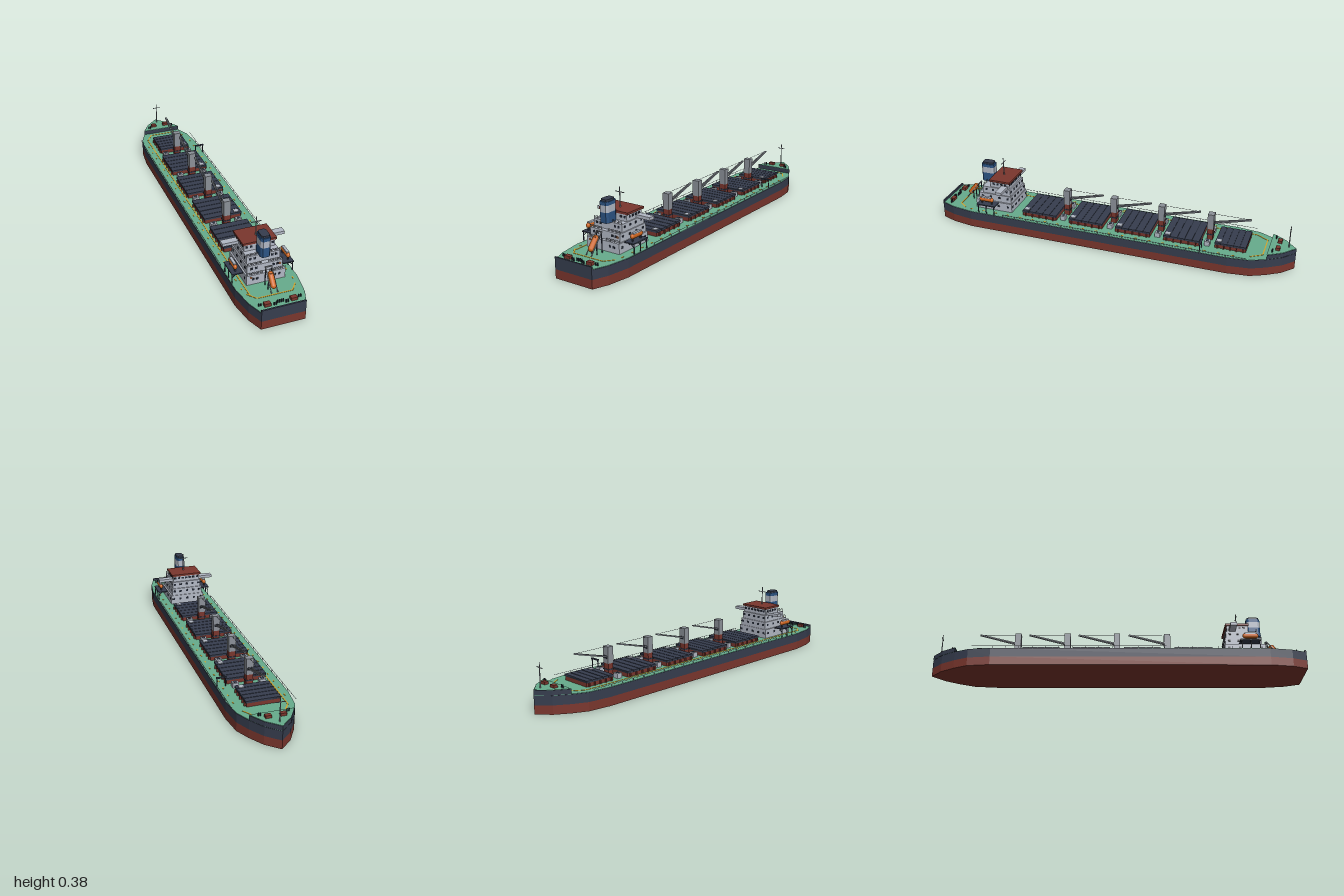
import * as THREE from 'three';

const mat = (name, color, side = THREE.FrontSide) => {
  const m = new THREE.MeshStandardMaterial({ color, side });
  m.name = name;
  return m;
};

export function createModel() {
  const red = mat('oxide red', 0x7a362d), navy = mat('dark navy', 0x363d4e);
  const green = mat('deck green', 0x67ac8d), white = mat('house white', 0xb2b8c4);
  const grey = mat('crane grey', 0x8b9098), blue = mat('funnel blue', 0x2c5484);
  const orange = mat('rescue orange', 0xd0661f), yellow = mat('marking yellow', 0xd2a52c);
  const black = mat('window black', 0x242a36);
  const ship = new THREE.Group();
  ship.name = 'cargoShip';

  const add = (name, geo, m, parent = ship) => {
    const mesh = new THREE.Mesh(geo, m);
    mesh.name = name;
    parent.add(mesh);
    return mesh;
  };
  const group = (name) => {
    const g = new THREE.Group();
    g.name = name;
    ship.add(g);
    return g;
  };
  // Box given by its limits on each axis
  const box = (name, m, x0, x1, y0, y1, z0, z1, parent) => {
    const b = add(name, new THREE.BoxGeometry(x1 - x0, y1 - y0, z1 - z0), m, parent);
    b.position.set((x0 + x1) / 2, (y0 + y1) / 2, (z0 + z1) / 2);
    return b;
  };
  // Square bar between two points
  const beam = (name, m, a, b, w, parent, h = w) => {
    const p = new THREE.Vector3(...a), q = new THREE.Vector3(...b);
    const bar = add(name, new THREE.BoxGeometry(w, h, p.distanceTo(q)), m, parent);
    bar.position.copy(p).add(q).multiplyScalar(0.5);
    bar.lookAt(q);
    return bar;
  };
  // Symmetric plan outline, given as half-widths [x, z] from bow to stern
  const slab = (name, m, half, y0, y1, parent) => {
    const pts = [...half, ...half.filter((p) => p[0] > 0).reverse().map(([x, z]) => [-x, z])];
    const shape = new THREE.Shape(pts.map(([x, z]) => new THREE.Vector2(x, -z)));
    const geo = new THREE.ExtrudeGeometry(shape, { depth: y1 - y0, bevelEnabled: false });
    geo.rotateX(-Math.PI / 2).translate(0, y0, 0);
    return add(name, geo, m, parent);
  };

  // Hull
  const bow = [[0, -1], [0.065, -0.94], [0.112, -0.865]];
  const outline = [...bow, [0.147, -0.79], [0.161, -0.67], [0.161, 0.8], [0.142, 0.92], [0.112, 1]];
  slab('lowerHull', red, outline, 0, 0.046);
  slab('upperHull', navy, outline, 0.046, 0.094);
  slab('mainDeck', green, outline.map(([x, z]) => [x * 0.99, z * 0.998]), 0.094, 0.096);
  slab('forecastle', navy, bow, 0.096, 0.12);
  slab('forecastleDeck', green, bow.map(([x, z]) => [x * 0.98, z * 0.998]), 0.12, 0.122);
  box('sternBulwark', navy, -0.112, 0.112, 0.094, 0.108, 0.992, 1);

  // Deck markings
  const marks = group('deckMarkings');
  const line = (x0, z0, x1, z1) => beam('deckLine', yellow, [x0, 0.0965, z0], [x1, 0.0965, z1], 0.006, marks, 0.002);
  line(-0.113, -0.78, -0.113, 0.87);
  line(-0.075, -0.84, 0.075, -0.84);
  line(-0.09, 0.895, 0.09, 0.895);
  for (const s of [-1, 1]) {
    line(s * 0.075, -0.84, s * 0.113, -0.78);
    line(s * 0.09, 0.895, s * 0.125, 0.85);
    for (let z = -0.7; z < 0.8; z += 0.075) line(s * 0.132, z, s * 0.132, z + 0.014);
  }

  // Side rails
  const rails = group('deckRails');
  for (const s of [-1, 1]) {
    beam('rail', grey, [s * 0.16, 0.108, -0.77], [s * 0.16, 0.108, 0.6], 0.0015, rails);
    for (let i = 0; i <= 18; i++) {
      const z = -0.66 + i * 0.07;
      beam('railPost', grey, [s * 0.16, 0.095, z], [s * 0.16, 0.108, z + 0.0001], 0.002, rails);
    }
  }

  // Cargo hatches with ribbed coamings and panelled covers
  const hatches = [[-0.755, -0.585, 0.088], [-0.51, -0.31, 0.105], [-0.24, -0.04, 0.105], [0.03, 0.23, 0.105], [0.3, 0.505, 0.105]];
  for (const [z0, z1, w] of hatches) {
    const g = group('cargoHatch');
    box('coaming', red, -w + 0.004, w - 0.004, 0.095, 0.116, z0 + 0.003, z1 - 0.003, g);
    const n = 5, step = (z1 - z0) / n;
    for (let i = 0; i < n; i++) {
      const a = z0 + i * step;
      box('coverPanel', navy, -w, w, 0.116, 0.127, a + 0.002, a + step - 0.002, g);
      for (const s of [-1, 1])
        box('coamingRib', red, s * w - 0.004, s * w + 0.004, 0.095, 0.115, a + step / 2 - 0.003, a + step / 2 + 0.003, g);
    }
    box('coverCore', black, -w + 0.002, w - 0.002, 0.116, 0.125, z0 + 0.002, z1 - 0.002, g);
    box('accessHatch', white, w - 0.038, w - 0.014, 0.127, 0.13, z1 - 0.035, z1 - 0.008, g);
  }

  // Deck cranes with lockers on either side
  for (const z of [0.275, 0, -0.27, -0.54]) {
    const g = group('deckCrane');
    const pz = z - 0.005;
    box('pedestal', red, -0.018, 0.018, 0.095, 0.16, pz - 0.015, pz + 0.015, g);
    box('pedestalCollar', navy, -0.021, 0.021, 0.125, 0.131, pz - 0.018, pz + 0.018, g);
    box('craneTower', grey, -0.019, 0.019, 0.16, 0.247, pz - 0.017, pz + 0.017, g);
    box('craneWindow', black, -0.012, 0.012, 0.185, 0.2, pz - 0.02, pz - 0.016, g);
    for (const s of [-1, 1]) {
      beam('jib', grey, [s * 0.008, 0.193, pz - 0.01], [s * 0.003, 0.246, z - 0.215], 0.005, g, 0.007);
      box('locker', white, s * 0.07 - 0.016, s * 0.07 + 0.016, 0.095, 0.122, pz - 0.014, pz + 0.014, g);
      box('lockerLid', navy, s * 0.07 - 0.008, s * 0.07 + 0.008, 0.122, 0.124, pz - 0.007, pz + 0.007, g);
    }
    for (const t of [0.25, 0.5, 0.75])
      box('jibBrace', grey, -0.008, 0.008, 0.193 + 0.053 * t - 0.002, 0.193 + 0.053 * t + 0.002, pz - 0.01 - 0.2 * t - 0.002, pz - 0.008 - 0.2 * t, g);
    beam('hoistWire', grey, [0, 0.246, pz], [0, 0.247, z - 0.215], 0.0015, g);
  }

  // Gangway gantry on the left side
  const gangway = group('gangway');
  box('gangwayBar', navy, 0.108, 0.161, 0.143, 0.149, -0.528, -0.518, gangway);
  for (const x of [0.112, 0.157]) box('gangwayPost', navy, x - 0.002, x + 0.002, 0.095, 0.143, -0.525, -0.521, gangway);

  // Accommodation block: half-width, bottom, top, front z, aft z
  const house = group('accommodation');
  const tiers = [[0.1, 0.095, 0.148, 0.572, 0.79], [0.092, 0.148, 0.19, 0.576, 0.772], [0.086, 0.19, 0.23, 0.582, 0.75], [0.08, 0.23, 0.265, 0.59, 0.705]];
  tiers.forEach(([w, y0, y1, z0, z1], t) => {
    box('houseTier', white, -w, w, y0, y1, z0, z1, house);
    const y = (y0 + y1) / 2 + 0.004, h = 0.0055;
    const front = t === 3 ? 7 : 5;
    for (let i = 0; i < front; i++) {
      const x = (i / (front - 1) - 0.5) * w * 1.7;
      box('frontWindow', black, x - 0.007, x + 0.007, y - h, y + h, z0 - 0.002, z0 + 0.002, house);
    }
    for (const s of [-1, 1]) {
      for (let i = 0; i < 4; i++) {
        const z = z0 + 0.022 + (i * (z1 - z0 - 0.044)) / 3;
        box('sideWindow', black, s * w - 0.002, s * w + 0.002, y - h, y + h, z - 0.006, z + 0.006, house);
      }
      for (const x of [0.045, 0.067])
        box('aftWindow', black, s * x - 0.006, s * x + 0.006, y - h, y + h, z1 - 0.002, z1 + 0.002, house);
      // Walkway rail on each step
      if (t < 3) {
        for (const dy of [0.007, 0.014]) beam('aftRail', grey, [s * 0.02, y1 + dy, z1 - 0.002], [s * w, y1 + dy, z1 - 0.002], 0.0015, house);
        for (let i = 0; i < 4; i++) {
          const x = s * (0.02 + (i * (w - 0.021)) / 3);
          box('aftRailPost', grey, x - 0.001, x + 0.001, y1, y1 + 0.014, z1 - 0.003, z1 - 0.001, house);
        }
      }
    }
  });
  box('bridgeWings', white, -0.163, 0.163, 0.231, 0.247, 0.6, 0.635, house);
  box('bridgeRoof', red, -0.088, 0.088, 0.265, 0.276, 0.582, 0.708, house);
  for (const [x, y, z] of [[0.077, 0.172, 0.774], [-0.078, 0.137, 0.792]])
    add('lifeRing', new THREE.TorusGeometry(0.0045, 0.0017, 6, 12), orange, house).position.set(x, y, z);

  // Funnel with chamfered corners and colour bands
  const funnel = group('funnel');
  const plan = [[0.017, 0.708], [0.025, 0.72], [0.025, 0.77], [0.017, 0.782]];
  [[blue, 0.23, 0.283], [white, 0.283, 0.318], [blue, 0.318, 0.336]].forEach(([m, a, b]) => slab('funnelBand', m, plan, a, b, funnel));
  slab('funnelCap', navy, plan.map(([x, z]) => [x * 0.84, 0.745 + (z - 0.745) * 0.84]), 0.336, 0.346, funnel);

  // Masts
  const mast = (name, z, y0, y1, bar, w) => {
    const g = group(name);
    const pole = add('pole', new THREE.CylinderGeometry(0.002, 0.0035, y1 - y0, 8), grey, g);
    pole.position.set(0, (y0 + y1) / 2, z);
    box('yard', grey, -w, w, bar - 0.0015, bar + 0.0015, z - 0.002, z + 0.002, g);
  };
  mast('mainMast', 0.655, 0.276, 0.378, 0.352, 0.027);
  mast('foreMast', -0.96, 0.12, 0.247, 0.222, 0.022);

  // Boat hull: stretched low-poly capsule lying along z
  const boat = (parent, r, len) => {
    const geo = new THREE.CapsuleGeometry(r, len - 2 * r, 4, 10);
    geo.rotateX(Math.PI / 2);
    return add('boatHull', geo, orange, parent);
  };

  // Side lifeboats on platforms
  for (const s of [-1, 1]) {
    const g = group('sideLifeboat');
    const px = s * 0.132;
    box('platform', navy, px - 0.028, px + 0.028, 0.146, 0.152, 0.648, 0.757, g);
    for (const z of [0.655, 0.703, 0.75]) {
      box('platformLeg', navy, s * 0.157 - 0.002, s * 0.157 + 0.002, 0.095, 0.146, z - 0.002, z + 0.002, g);
      beam('platformBrace', navy, [s * 0.157, 0.128, z], [s * 0.137, 0.147, z], 0.003, g);
    }
    for (const z of [0.675, 0.735]) box('cradle', navy, s * 0.137 - 0.003, s * 0.137 + 0.003, 0.15, 0.176, z - 0.003, z + 0.003, g);
    const b = boat(g, 0.0105, 0.085);
    b.scale.y = 1.25;
    b.position.set(s * 0.137, 0.178, 0.705);
    box('boatCanopy', white, s * 0.137 - 0.007, s * 0.137 + 0.007, 0.186, 0.195, 0.675, 0.735, g);
  }

  // Free-fall lifeboat on its stern ramp
  const ramp = group('freeFallLifeboat');
  for (const s of [-1, 1]) {
    beam('rampRail', grey, [s * 0.016, 0.2, 0.812], [s * 0.016, 0.102, 0.892], 0.004, ramp);
    beam('rampLeg', navy, [s * 0.016, 0.096, 0.815], [s * 0.016, 0.198, 0.8151], 0.004, ramp);
    beam('rampLeg', navy, [s * 0.016, 0.096, 0.852], [s * 0.016, 0.15, 0.8521], 0.004, ramp);
  }
  box('rampHead', grey, -0.018, 0.018, 0.196, 0.201, 0.809, 0.815, ramp);
  const ff = boat(ramp, 0.0145, 0.085);
  ff.position.set(0, 0.152, 0.857);
  ff.rotation.x = 0.88;
  box('boatCockpit', orange, -0.008, 0.008, 0.162, 0.184, 0.832, 0.85, ramp);
  box('cockpitWindow', black, -0.006, 0.006, 0.171, 0.178, 0.849, 0.852, ramp);

  // Mooring gear fore and aft
  const gear = group('mooringGear');
  for (const s of [-1, 1]) {
    box('anchorWindlass', red, s * 0.037 - 0.015, s * 0.037 + 0.015, 0.121, 0.136, -0.92, -0.898, gear);
    box('sternWinch', red, s * 0.067 - 0.016, s * 0.067 + 0.016, 0.095, 0.112, 0.945, 0.968, gear);
    for (const [x, y, z] of [[0.01, 0.095, 0.955], [0.03, 0.095, 0.965], [0.1, 0.095, 0.95], [0.07, 0.121, -0.885]])
      for (const d of [-0.005, 0.005]) {
        const bollard = add('bollard', new THREE.CylinderGeometry(0.0035, 0.0035, 0.016, 8), black, gear);
        bollard.position.set(s * x + d, y + 0.008, z);
      }
  }
  return ship;
}
